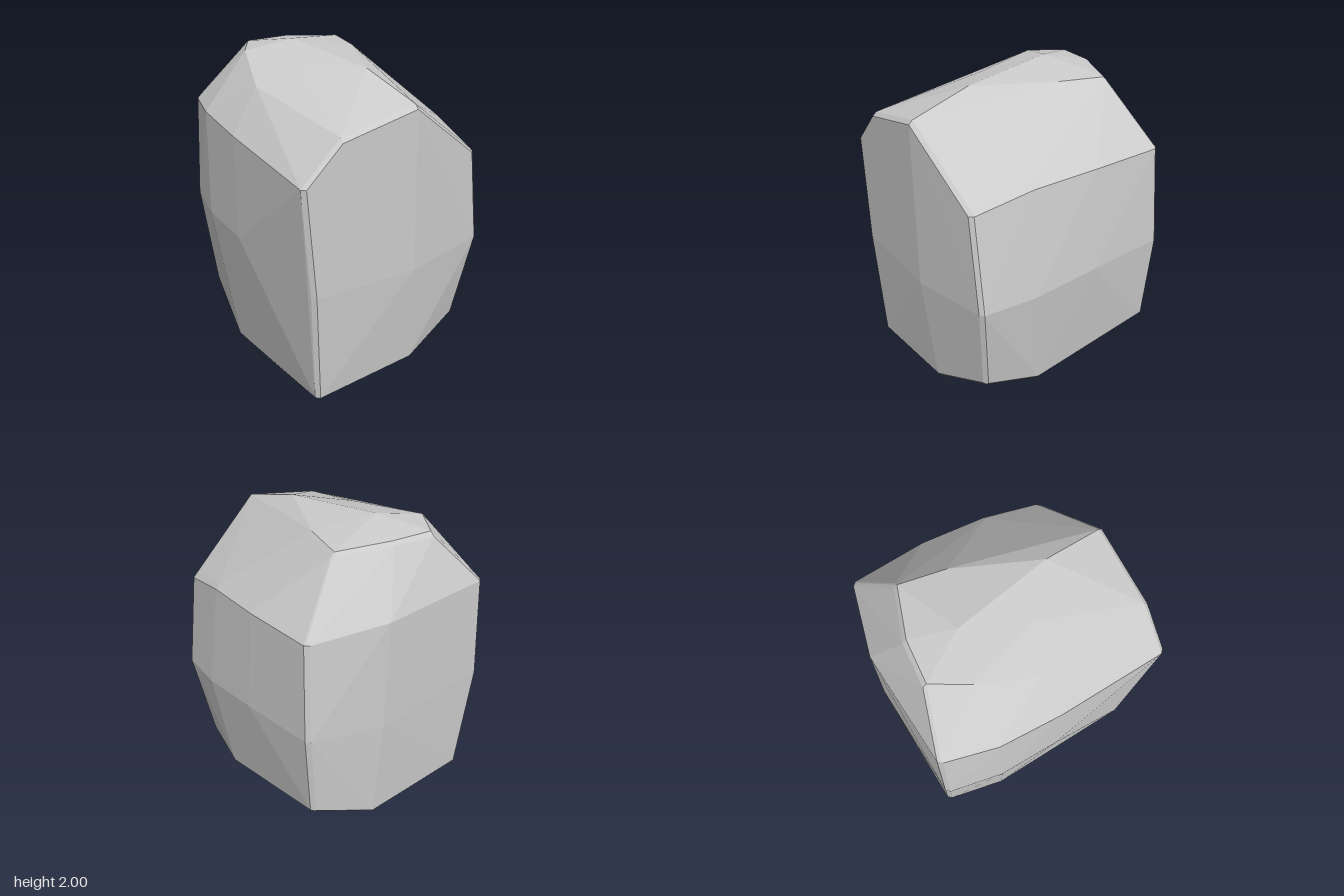
import * as THREE from 'three';
import { ConvexGeometry } from 'three/addons/geometries/ConvexGeometry.js';

const BEVEL = 0.022;

// Sharp corners [x, y, z] along the rims; each is trimmed into a small bevel.
const frontRim = [
  [-0.64, 1.55, 0.685], [-0.43, 1.75, 0.69], [0.07, 1.84, 0.7],
  [0.53, 1.48, 0.635], [0.605, 0.88, 0.63], [0.52, 0.35, 0.56],
  [0.14, 0.21, 0.64], [-0.55, 0.19, 0.655], [-0.59, 0.87, 0.69],
];
const rightRim = [
  [0.58, 1.56, 0.3], [0.61, 1.59, -0.13], [0.595, 1.6, -0.57],
  [0.62, 1.0, -0.6], [0.575, 0.45, -0.58], [0.575, 0.3, 0.25], [0.17, 0, 0.18],
];
const backLeftRim = [
  [-0.55, 1.64, -0.68], [-0.58, 0.98, -0.69], [-0.5, 0.33, -0.67],
];
const topRidge = [
  [0.03, 1.945, 0.33], [0.25, 1.945, -0.17], [0.31, 1.94, -0.43],
  [0, 1.955, -0.54], [-0.27, 1.95, -0.57],
];

// Soft corners inside the broad faces, kept as plain facets.
const sideFacets = [
  [0.07, 0.87, 0.7],
  [0.65, 0.93, 0.3], [0.655, 0.98, -0.1],
  [0.15, 1.61, -0.695], [0.17, 0.95, -0.695], [0.2, 0.33, -0.67],
  [-0.635, 1.63, -0.37], [-0.655, 1.6, 0], [-0.65, 1.0, -0.36], [-0.655, 0.98, 0],
];
const crownFacets = [
  [-0.1, 2, -0.28], [-0.24, 1.92, 0.07], [-0.37, 1.95, -0.36], [-0.48, 1.84, -0.04],
];
const baseFacets = [
  [-0.54, 0.12, -0.29], [-0.53, 0.14, 0.18], [0.17, 0.1, -0.25],
];

// Splits a corner into three points, each touching its outer bound on one axis.
function bevelCorner([x, y, z]) {
  const p = new THREE.Vector3(x, y, z);
  const out = new THREE.Vector3(Math.sign(x), Math.sign(y - 1), Math.sign(z)).multiplyScalar(BEVEL);
  const inner = p.clone().sub(out);
  return ['x', 'y', 'z'].map((axis) => {
    const q = inner.clone();
    q[axis] = p[axis];
    return q;
  });
}

export function createModel() {
  const group = new THREE.Group();
  group.name = 'boulder';

  const points = [
    ...[...frontRim, ...rightRim, ...backLeftRim, ...topRidge].flatMap(bevelCorner),
    ...[...sideFacets, ...crownFacets, ...baseFacets].map((c) => new THREE.Vector3(...c)),
  ];

  // Faceted stone body
  const stone = new THREE.Mesh(
    new ConvexGeometry(points),
    new THREE.MeshStandardMaterial({ color: 0xcccccc, flatShading: true }),
  );
  stone.name = 'stone';
  group.add(stone);
  return group;
}
